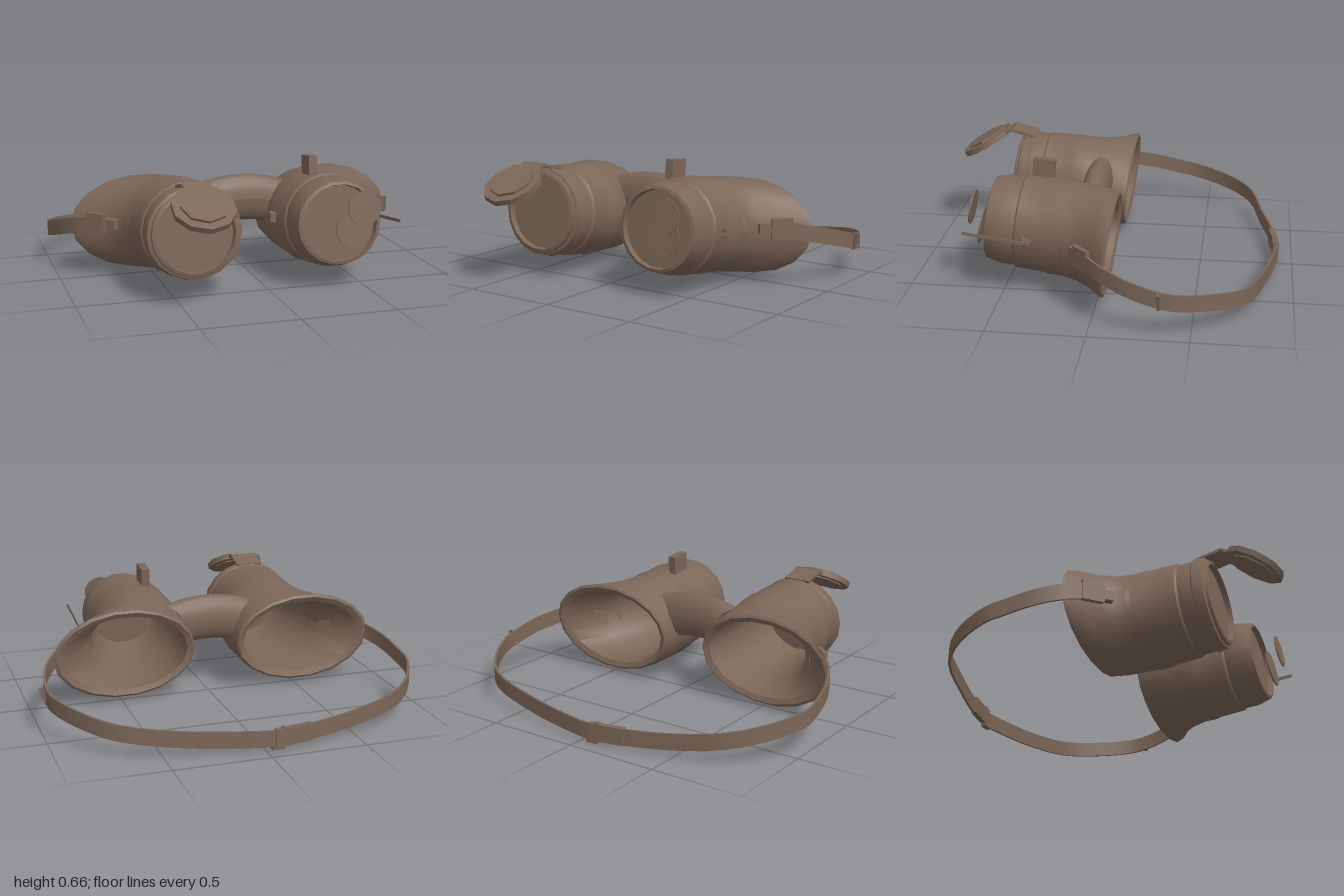
import * as THREE from 'three';
import { toCreasedNormals } from 'three/addons/utils/BufferGeometryUtils.js';

const MID = -0.025; // x of the goggles' own mirror plane

// Skin a list of equal-length rings of Vector3
function loft(rings, capped = false) {
  const n = rings[0].length, pos = [], idx = [];
  rings.forEach(r => r.forEach(p => pos.push(p.x, p.y, p.z)));
  for (let i = 0; i < rings.length - 1; i++) {
    for (let j = 0; j < n; j++) {
      const a = i * n + j, b = i * n + (j + 1) % n;
      idx.push(a, a + n, b, b, a + n, b + n);
    }
  }
  if (capped) {
    const e = (rings.length - 1) * n;
    for (let j = 1; j < n - 1; j++) idx.push(0, j, j + 1, e, e + j + 1, e + j);
  }
  const g = new THREE.BufferGeometry();
  g.setAttribute('position', new THREE.Float32BufferAttribute(pos, 3));
  g.setIndex(idx);
  return toCreasedNormals(g, 0.6);
}

// Oval rings [z, centre x, x radius, y radius] along the upward-tilted barrel axis
function barrel(side, sections, sides = 18) {
  return loft(sections.map(([z, cx, rx, ry]) => {
    const ring = [];
    for (let j = 0; j < sides; j++) {
      const t = j / sides * Math.PI * 2, dy = ry * Math.sin(t);
      ring.push(new THREE.Vector3(MID + side * cx + rx * Math.cos(t), 0.287 + 0.11 * z + dy, z - 0.1 * dy));
    }
    return ring;
  }));
}

// Upright flat band following a path
function band(points, height, thickness, steps) {
  const curve = new THREE.CatmullRomCurve3(points.map(p => new THREE.Vector3(...p)));
  const rings = [];
  for (let i = 0; i <= steps; i++) {
    const p = curve.getPoint(i / steps), t = curve.getTangent(i / steps);
    const out = new THREE.Vector3(-t.z, 0, t.x).normalize().multiplyScalar(thickness / 2);
    rings.push([[1, -1], [1, 1], [-1, 1], [-1, -1]].map(([o, h]) =>
      p.clone().addScaledVector(out, o).setY(p.y + h * height / 2)));
  }
  return loft(rings, true);
}

export function createModel() {
  const model = new THREE.Group();
  model.name = 'goggles';
  const leather = new THREE.MeshStandardMaterial({ color: 0x7b6657, side: THREE.DoubleSide });
  leather.name = 'brown leather';

  const add = (name, geometry, position = [0, 0, 0], rotation = [0, 0, 0]) => {
    const mesh = new THREE.Mesh(geometry, leather);
    mesh.name = name;
    mesh.position.set(...position);
    mesh.rotation.set(...rotation);
    model.add(mesh);
    return mesh;
  };
  const box = (...size) => new THREE.BoxGeometry(...size);
  const disc = (r, h, sides) => toCreasedNormals(new THREE.CylinderGeometry(r, r, h, sides), 0.75);

  // Eye cups: lens, stepped barrel, flared face opening and inner lining
  const cup = [
    [0.555, 0.38, 0.001, 0.001], [0.555, 0.38, 0.2, 0.195], [0.585, 0.38, 0.205, 0.2],
    [0.58, 0.38, 0.225, 0.215], [0.5, 0.38, 0.24, 0.235], [0.43, 0.38, 0.238, 0.235],
    [0.42, 0.38, 0.248, 0.245], [0.27, 0.38, 0.25, 0.25], [0.25, 0.38, 0.258, 0.255],
    [0.18, 0.385, 0.258, 0.25], [0.1, 0.405, 0.277, 0.25], [0.02, 0.445, 0.325, 0.25],
    [-0.04, 0.5, 0.38, 0.25], [-0.06, 0.51, 0.39, 0.25], [-0.068, 0.505, 0.375, 0.238],
    [-0.055, 0.5, 0.34, 0.21], [0.1, 0.42, 0.25, 0.2], [0.4, 0.38, 0.2, 0.2],
    [0.52, 0.38, 0.19, 0.19], [0.52, 0.38, 0.001, 0.001],
  ];
  for (const side of [-1, 1]) {
    const label = side > 0 ? 'left' : 'right';
    add(label + 'EyeCup', barrel(side, cup));
    // Strap clip on the outer cheek of each cup
    add(label + 'StrapClip', box(0.11, 0.11, 0.025), [MID + side * 0.79, 0.31, 0.055], [0, side * 0.8, 0]);
    add(label + 'ClipTab', box(0.07, 0.05, 0.05), [MID + side * 0.71, 0.31, 0.09], [0, side * 0.8, 0]);
  }
  add('rightFrontRing', barrel(-1, [
    [0.57, 0.38, 0.215, 0.21], [0.56, 0.38, 0.245, 0.232], [0.51, 0.38, 0.25, 0.242], [0.495, 0.38, 0.23, 0.23],
  ]));

  // Nose bridge: arched oval bar whose upper edge reaches around the cups
  const bridge = new THREE.CylinderGeometry(1, 1, 2, 18, 8, true).rotateZ(Math.PI / 2);
  const p = bridge.attributes.position;
  for (let i = 0; i < p.count; i++) {
    const v = p.getY(i), x = p.getX(i) * (0.155 + 0.09 * Math.max(0, v) ** 2);
    p.setXYZ(i, x, v * 0.125 - 0.7 * x * x, p.getZ(i) * 0.07);
  }
  bridge.computeVertexNormals();
  add('noseBridge', bridge, [MID, 0.407, 0.08]);

  // Head strap, from one cup around the back to the other
  add('headStrap', band([
    [0.73, 0.305, 0.1], [0.8, 0.3, 0.03], [0.87, 0.28, -0.05], [0.94, 0.245, -0.18], [0.965, 0.205, -0.33],
    [0.955, 0.185, -0.43], [0.85, 0.155, -0.62], [0.7, 0.125, -0.76], [0.4, 0.085, -0.84], [0.1, 0.07, -0.9],
    [-0.05, 0.065, -0.915], [-0.25, 0.07, -0.89], [-0.5, 0.085, -0.83], [-0.75, 0.125, -0.76], [-0.9, 0.155, -0.62],
    [-0.995, 0.185, -0.43], [-0.995, 0.205, -0.33], [-0.97, 0.245, -0.18], [-0.91, 0.28, -0.05],
    [-0.84, 0.3, 0.03], [-0.77, 0.305, 0.1],
  ], 0.085, 0.012, 60));
  add('strapOverlap', band([[-0.05, 0.065, -0.91], [-0.15, 0.067, -0.9], [-0.25, 0.07, -0.885]], 0.09, 0.03, 4));
  add('rearBuckle', box(0.02, 0.11, 0.03), [-0.095, 0.062, -0.905], [0, 0, 0.05]);
  add('rearBuckleFoot', box(0.06, 0.02, 0.03), [-0.065, 0.015, -0.905]);
  add('strapSlider', box(0.025, 0.09, 0.015), [0.978, 0.2, -0.345], [0, 0, -0.3]);

  // Right cup: flip-up lens on a hinge plate
  add('hingePlate', box(0.15, 0.015, 0.14), [-0.41, 0.592, 0.55], [-0.25, 0, 0]);
  add('hingeLeaf', box(0.14, 0.015, 0.09), [-0.41, 0.592, 0.645], [0.5, 0, 0]);
  add('flipLensFrame', disc(0.16, 0.03, 10), [-0.415, 0.523, 0.77], [0.52, 0, 0]);
  add('flipLens', disc(0.12, 0.05, 8), [-0.415, 0.526, 0.772], [0.52, 0, 0]);

  // Left cup: top knob, side arm and two thin magnifier discs
  add('topKnob', box(0.045, 0.1, 0.115), [0.283, 0.61, 0.315], [-0.1, 0, 0]);
  add('innerKnob', box(0.05, 0.05, 0.05), [0.1, 0.33, 0.27]);
  add('magnifierArm', box(0.006, 0.016, 0.35), [0.645, 0.343, 0.505], [-0.13, 0, 0]);
  add('armPivot', new THREE.ConeGeometry(0.03, 0.06, 4), [0.615, 0.322, 0.345], [-Math.PI / 2, 0, 0]);
  add('lowerMagnifier', disc(0.1, 0.008, 14), [0.42, 0.325, 0.622], [Math.PI / 2 - 0.15, 0, 0]);
  add('upperMagnifier', disc(0.09, 0.008, 14), [0.455, 0.44, 0.66], [Math.PI / 2 - 0.15, 0, 0]);

  return model;
}
